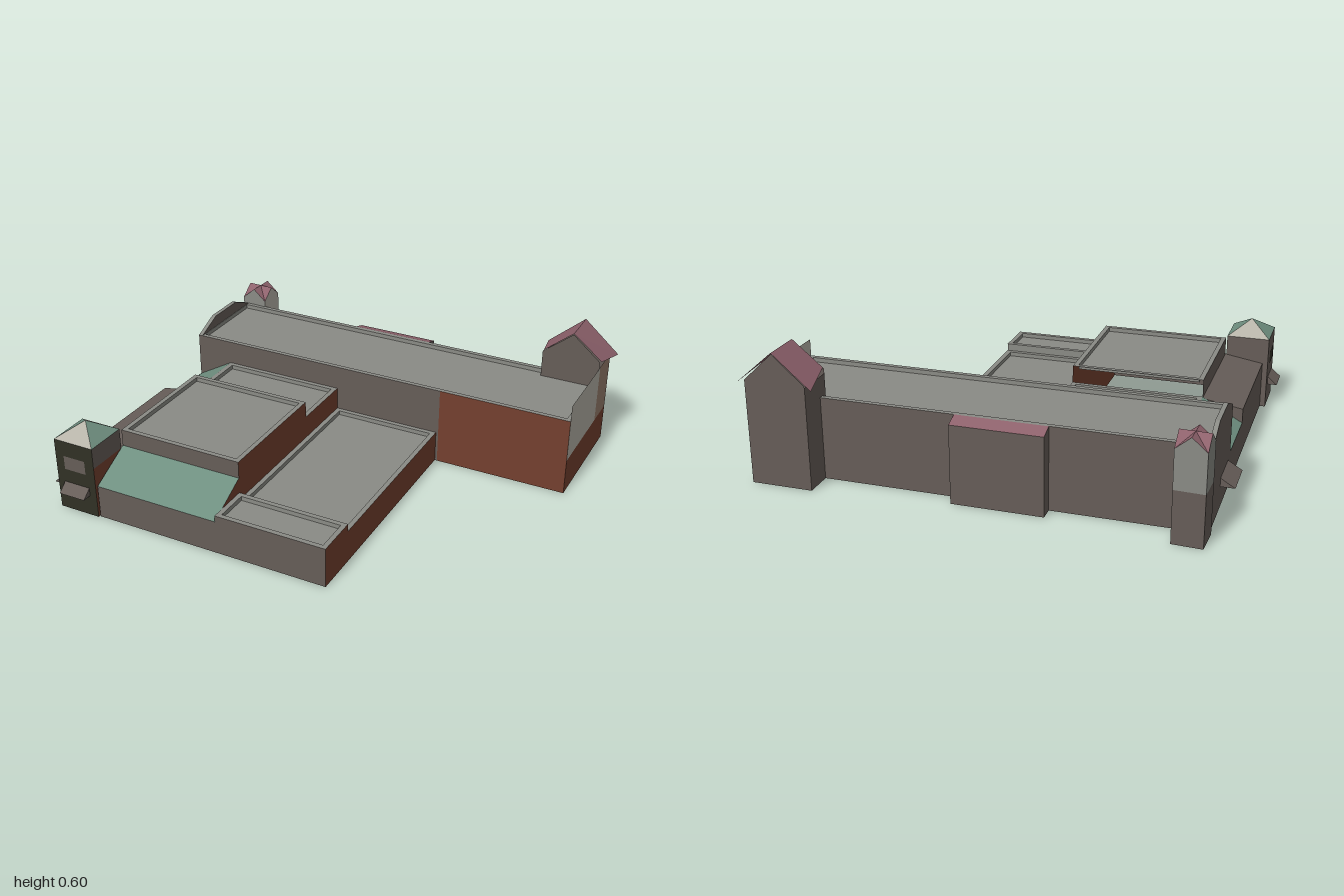
import * as THREE from 'three';

const mat = (name, color) => {
  const m = new THREE.MeshStandardMaterial({ color, side: THREE.DoubleSide, flatShading: true });
  m.name = name;
  return m;
};

export function createModel() {
  const wall = mat('brown-grey wall', 0x665d58), red = mat('red brick', 0x74402f);
  const roof = mat('grey roof', 0x8a8b85), green = mat('green slate', 0x6f8f80);
  const pink = mat('pink tile', 0x8e626c), cream = mat('pale plaster', 0xb6b3a8);
  const tan = mat('tan plaster', 0x987f6d), dark = mat('dark timber', 0x303025);

  const model = new THREE.Group();
  model.name = 'buildingComplex';
  const site = new THREE.Group();
  site.name = 'site';
  site.rotation.y = 0.044;
  model.add(site);

  // Flat convex face, fanned from its first corner
  const face = (name, material, pts, parent = site) => {
    const pos = [];
    for (let i = 1; i < pts.length - 1; i++) pos.push(...pts[0], ...pts[i], ...pts[i + 1]);
    const g = new THREE.BufferGeometry();
    g.setAttribute('position', new THREE.Float32BufferAttribute(pos, 3));
    g.computeVertexNormals();
    const m = new THREE.Mesh(g, material);
    m.name = name;
    parent.add(m);
    return m;
  };
  // Upright walls, counter-clockwise order chosen so normals point outward
  const southWall = (n, m, x0, x1, y0, y1, z) => face(n, m, [[x0, y0, z], [x1, y0, z], [x1, y1, z], [x0, y1, z]]);
  const northWall = (n, m, x0, x1, y0, y1, z) => face(n, m, [[x1, y0, z], [x0, y0, z], [x0, y1, z], [x1, y1, z]]);
  const eastWall = (n, m, z0, z1, y0, y1, x) => face(n, m, [[x, y0, z1], [x, y0, z0], [x, y1, z0], [x, y1, z1]]);
  const westWall = (n, m, z0, z1, y0, y1, x) => face(n, m, [[x, y0, z0], [x, y0, z1], [x, y1, z1], [x, y1, z0]]);

  // Flat roof sunk behind a narrow parapet rim
  const flatRoof = (name, x0, x1, z0, z1, y, t = 0.022, drop = 0.02) => {
    const outer = [[x0, z1], [x1, z1], [x1, z0], [x0, z0]];
    const inner = [[x0 + t, z1 - t], [x1 - t, z1 - t], [x1 - t, z0 + t], [x0 + t, z0 + t]];
    const at = ([x, z], h) => [x, h, z];
    for (let i = 0; i < 4; i++) {
      const j = (i + 1) % 4;
      face(name + 'Rim', roof, [at(outer[i], y), at(outer[j], y), at(inner[j], y), at(inner[i], y)]);
      face(name + 'RimInside', roof, [at(inner[j], y - drop), at(inner[i], y - drop), at(inner[i], y), at(inner[j], y)]);
    }
    face(name, roof, inner.map(p => at(p, y - drop)));
  };

  // Long rear hall
  const W = -0.918, E = 1.004, N = -0.74, S = -0.291, H = 0.37;
  flatRoof('hallRoof', W, E, N, S, H);
  southWall('hallFrontWall', wall, W, 0.385, 0, H, S);
  southWall('hallFrontBrick', red, 0.385, E, 0, H, S);
  northWall('hallBackWall', wall, W, E, 0, H, N);
  eastWall('hallEndBrick', red, N, S, 0, 0.17, E);
  eastWall('hallEndPlaster', cream, -0.707, S, 0.17, 0.447, E);
  const gable = [[0, S], [H, S], [0.425, -0.42], [0.425, -0.61], [H, N], [0, N]];
  face('hallWestGable', wall, gable.map(([y, z]) => [W, y, z]).reverse());
  face('hallGableParapet', wall, gable.slice(1, 5).map(([y, z]) => [W + 0.02, y, z]));
  for (let i = 1; i < 4; i++) {
    const [a, b] = [gable[i], gable[i + 1]];
    face('gableCoping', roof, [[W, ...a], [W + 0.02, ...a], [W + 0.02, ...b], [W, ...b]]);
  }

  // Rear bay with a lean-to roof
  const b0 = -0.265, b1 = 0.135, bz = -0.804;
  northWall('bayWall', wall, b0, b1, 0, 0.35, bz);
  face('bayRoof', pink, [[b0, H, N], [b1, H, N], [b1, 0.35, bz], [b0, 0.35, bz]]);
  for (const x of [b0, b1]) {
    const pts = [[x, 0, N], [x, 0, bz], [x, 0.35, bz], [x, H, N]];
    face('baySide', wall, x === b0 ? pts.reverse() : pts);
  }

  // Gabled tower at the rear corner
  const t0 = 0.73, tN = -0.867, tS = -0.69, ridge = 0.87;
  eastWall('towerBrick', red, tN, N, 0, 0.17, E);
  eastWall('towerPlaster', tan, tN, -0.707, 0.17, 0.45, E);
  westWall('towerWestWall', wall, tN, tS, 0, 0.46, t0);
  for (const [z, eave, base] of [[tN, 0.465, 0], [tS, 0.48, 0.34]]) {
    const pts = [[t0, base, z], [E, base, z], [E, eave, z], [ridge, 0.592, z], [t0, eave, z]];
    face('towerGable', wall, z === tN ? pts.reverse() : pts);
  }
  face('towerRoofEast', pink, [[ridge, 0.597, tS], [1.012, 0.485, tS], [1.04, 0.45, tN - 0.005], [ridge, 0.597, tN - 0.005]]);
  face('towerRoofWest', pink, [[ridge, 0.597, tN - 0.005], [0.7, 0.45, tN - 0.005], [0.735, 0.485, tS], [ridge, 0.597, tS]]);

  // Corner turret with a cross-gabled roof
  const turret = new THREE.Group();
  turret.name = 'turret';
  turret.position.set(-0.893, 0, -0.765);
  model.add(turret);
  const r = 0.065;
  for (let k = 0; k < 4; k++) {
    const side = new THREE.Group();
    side.name = 'turretSide';
    side.rotation.y = k * Math.PI / 2;
    turret.add(side);
    face('turretLowerWall', k === 1 ? cream : wall, [[-r, 0, r], [r, 0, r], [r, 0.23, r], [-r, 0.23, r]], side);
    face('turretUpperWall', k === 1 ? cream : roof, [[-r, 0.23, r], [r, 0.23, r], [r, 0.4, r], [0, 0.455, r], [-r, 0.4, r]], side);
    face('turretRoof', pink, [[0, 0.455, r], [r, 0.4, r], [0, 0.455, 0]], side);
    face('turretRoof', pink, [[0, 0.455, r], [0, 0.455, 0], [-r, 0.4, r]], side);
  }

  // Raised west wing: low rear roof, high front roof, open clerestory between
  const wx = -0.738, mx = -0.142, mid = 0.025, zf = 0.617, F = 0.816;
  flatRoof('wingRearRoof', wx, mx, S, mid, 0.257);
  eastWall('wingRearBrick', red, S, mid, 0, 0.257, mx);
  flatRoof('wingFrontRoof', wx, mx, mid, zf, 0.335);
  eastWall('wingFrontBrick', red, mid, zf, 0, 0.335, mx);
  southWall('wingFrontWall', wall, wx, mx, 0.257, 0.335, zf);
  westWall('wingWestWall', wall, mid, zf, 0.25, 0.335, wx);

  // Green lean-to roofs and the brown aisle on the west side
  face('frontLeanToRoof', green, [[wx, 0.155, F], [mx, 0.155, F], [mx, 0.257, zf], [wx, 0.257, zf]]);
  face('frontLeanToEnd', red, [[mx, 0, F], [mx, 0, zf], [mx, 0.257, zf], [mx, 0.155, F]]);
  face('westLeanToRoof', green, [[W, 0.155, S], [W, 0.155, mid], [wx, 0.257, mid], [wx, 0.257, S]]);
  westWall('westLeanToWall', wall, S, mid, 0, 0.155, W);
  face('aisleRoof', wall, [[W, 0.22, mid], [W, 0.22, 0.63], [wx, 0.25, 0.63], [wx, 0.25, mid]]);
  westWall('aisleWall', wall, mid, 0.63, 0, 0.22, W);
  face('aisleEnd', wall, [[wx, 0.25, mid], [W, 0.155, mid], [W, 0.22, mid]]);

  // Low east wing with a slightly higher front block
  const ex = 0.374;
  flatRoof('eastWingRoof', mx, ex, S, zf, 0.15);
  eastWall('eastWingBrick', red, S, zf, 0, 0.15, ex);
  flatRoof('frontBlockRoof', mx, ex, zf, F, 0.185);
  eastWall('frontBlockBrick', red, zf, F, 0, 0.185, ex);
  northWall('frontBlockStep', roof, mx, ex, 0.13, 0.185, zf);
  westWall('frontBlockSide', wall, zf, F, 0.1, 0.185, mx);
  southWall('frontBlockWall', wall, mx, ex, 0, 0.185, F);
  southWall('frontWall', wall, wx, mx, 0, 0.155, F);

  // Front corner tower with a pyramid roof
  const cx = -0.843, cz = 0.724, h = 0.1, top = 0.342;
  const x0 = cx - h, x1 = cx + h, z0 = cz - h, z1 = cz + h;
  southWall('cornerTowerFront', dark, x0, x1, 0, top, z1);
  northWall('cornerTowerBack', wall, x0, x1, 0, top, z0);
  westWall('cornerTowerWest', wall, z0, z1, 0, top, x0);
  eastWall('cornerTowerBrick', red, z0, z1, 0, 0.245, x1);
  eastWall('cornerTowerEast', wall, z0, z1, 0.245, top, x1);
  const c = [[x0, top, z1], [x1, top, z1], [x1, top, z0], [x0, top, z0]];
  [cream, green, cream, green].forEach((m, i) =>
    face('pyramidRoof', m, [c[i], c[(i + 1) % 4], [cx, 0.41, cz]]));
  southWall('frontWindow', wall, cx - 0.055, cx + 0.055, 0.205, 0.27, z1 + 0.003);
  southWall('frontSlot', wall, cx - 0.065, cx + 0.065, 0.1, 0.13, z1 + 0.003);
  westWall('westWindow', dark, cz - 0.055, cz + 0.055, 0.205, 0.27, x0 - 0.003);

  // Small sloping awnings
  const awning = (x, z, turn, width, depth) => {
    const g = new THREE.Group();
    g.name = 'awning';
    g.position.set(x, 0, z);
    g.rotation.y = turn;
    site.add(g);
    const a = width / 2;
    face('awningTop', wall, [[-a, 0.1, depth], [a, 0.1, depth], [a, 0.138, 0], [-a, 0.138, 0]], g);
    face('awningUnderside', wall, [[-a, 0.1, 0], [a, 0.1, 0], [a, 0.1, depth], [-a, 0.1, depth]], g);
    for (const s of [-a, a]) face('awningCheek', wall, [[s, 0.1, 0], [s, 0.1, depth], [s, 0.138, 0]], g);
  };
  awning(cx + 0.0, z1, 0, 0.13, 0.045);
  awning(x0, cz + 0.01, -Math.PI / 2, 0.13, 0.045);
  awning(W, -0.43, -Math.PI / 2, 0.18, 0.062);

  return model;
}
